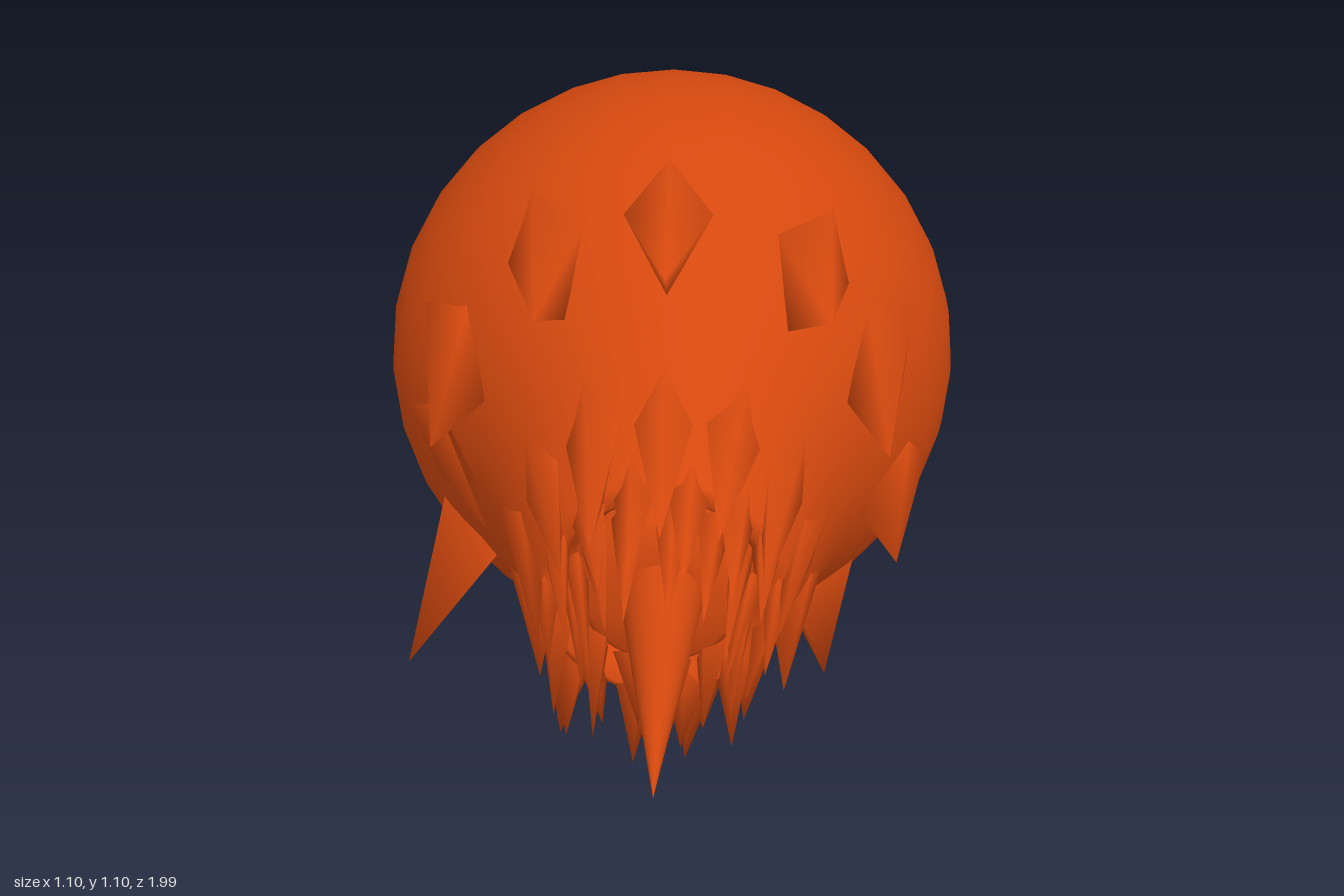
import * as THREE from 'three';
import { mergeGeometries } from 'three/addons/utils/BufferGeometryUtils.js';

const CY = 0.555; // height of the axis that runs along z

// Point at an angle (degrees) and radius around the axis
const polar = (deg, r, z) => {
  const a = THREE.MathUtils.degToRad(deg);
  return [Math.cos(a) * r, Math.sin(a) * r, z];
};

// Four-sided flame: outer ridge, two flanks and an inner root, meeting at a tip
function flame(deg, half, outer, flank, inner, tip) {
  const g = new THREE.BufferGeometry();
  const points = [
    polar(deg, ...outer), polar(deg + half, ...flank),
    polar(deg, ...inner), polar(deg - half, ...flank), tip,
  ];
  g.setAttribute('position', new THREE.Float32BufferAttribute(points.flat(), 3));
  g.setIndex([0, 4, 1, 1, 4, 2, 2, 4, 3, 3, 4, 0]);
  g.computeVertexNormals();
  return g;
}

export function createModel() {
  const model = new THREE.Group();
  model.name = 'fireball';
  const orange = new THREE.MeshStandardMaterial({ color: 0xd4480e, side: THREE.DoubleSide });
  orange.name = 'flame orange';

  const add = (name, geometry) => {
    const mesh = new THREE.Mesh(geometry, orange);
    mesh.name = name;
    mesh.position.y = CY;
    model.add(mesh);
  };
  const lathe = (points) =>
    new THREE.LatheGeometry(points.map(([r, z]) => new THREE.Vector2(r, z)), 32).rotateX(Math.PI / 2);

  // Ball at the back flowing into a narrowing tail
  const profile = [];
  for (let i = 0; i <= 20; i++) {
    const t = (i / 20) * 2.03;
    profile.push([Math.sin(t) * 0.553, -0.446 - Math.cos(t) * 0.553]);
  }
  profile.push([0.445, -0.1], [0.385, 0], [0.335, 0.1], [0.295, 0.2], [0.25, 0.33],
    [0.21, 0.43], [0.19, 0.45], [0.172, 0.42], [0.155, 0.39]);
  add('ballAndTail', lathe(profile));

  // Core disc and its long central point
  add('coreDisc', lathe([[0.155, 0.39], [0.142, 0.43], [0.125, 0.45], [0.07, 0.46], [0, 0.46]]));
  add('centralPoint', lathe([[0.07, 0.45], [0.038, 0.7], [0, 0.99]]));

  // Outer flames: tip x, tip y from the axis, tip z
  const tips = [
    [0, 0.465, 0.2], [0.28, 0.385, 0.2], [0.38, 0.185, 0.3], [0.41, -0.085, 0.2],
    [0.29, -0.325, 0.2], [0.07, -0.445, 0.21], [-0.19, -0.42, 0.26], [-0.455, -0.255, 0.28],
    [-0.31, 0, 0.24], [-0.395, 0.185, 0.28], [-0.22, 0.385, 0.2],
  ];
  add('outerFlames', mergeGeometries(tips.map((tip) => {
    const deg = THREE.MathUtils.radToDeg(Math.atan2(tip[1], tip[0]));
    return flame(deg, 10.5, [0.505, -0.22], [0.45, -0.12], [0.35, 0.03], tip);
  })));

  // Dense crowns of flames around the end of the tail
  const crowns = [
    { name: 'tailFlames', count: 13, start: 90, half: 12, outer: [0.3, 0.18], flank: [0.262, 0.28], inner: [0.2, 0.42], tip: [0.205, 0.6] },
    { name: 'middleFlames', count: 14, start: 77, half: 11, outer: [0.235, 0.35], flank: [0.2, 0.42], inner: [0.17, 0.43], tip: [0.17, 0.66] },
    { name: 'innerFlames', count: 13, start: 83, half: 12, outer: [0.17, 0.4], flank: [0.155, 0.42], inner: [0.125, 0.44], tip: [0.12, 0.7] },
  ];
  for (const c of crowns) {
    const parts = [];
    for (let i = 0; i < c.count; i++) {
      const deg = c.start + (i * 360) / c.count;
      // Uneven lengths and a slight twist keep the fire ragged
      const tip = polar(deg + 4 * Math.sin(i * 2.3), c.tip[0] + 0.012 * Math.sin(i * 1.7),
        c.tip[1] + 0.035 * Math.sin(i * 2.9));
      parts.push(flame(deg, c.half, c.outer, c.flank, c.inner, tip));
    }
    add(c.name, mergeGeometries(parts));
  }
  return model;
}
